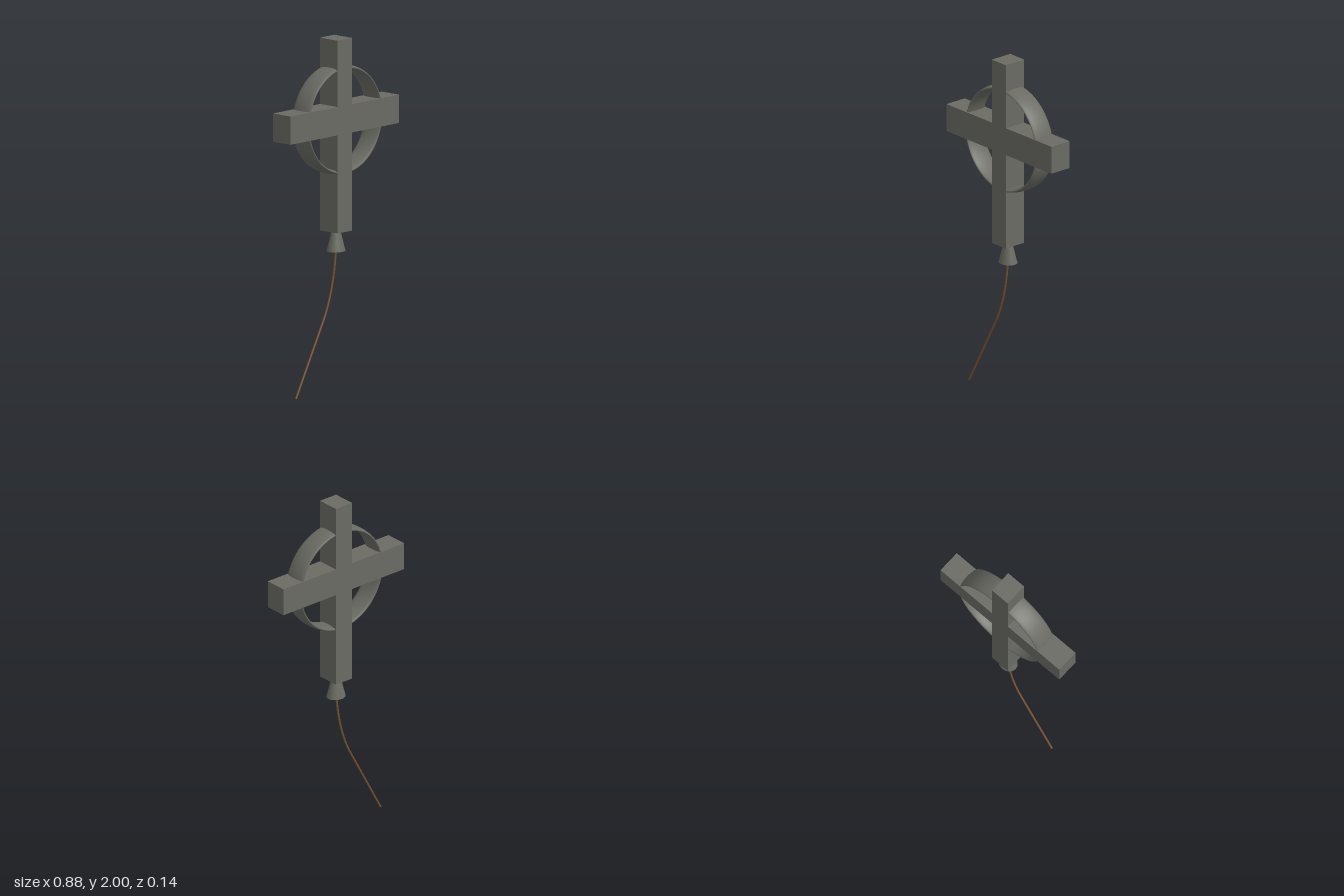
import * as THREE from 'three';

export function createModel() {
  const group = new THREE.Group();
  const stone = new THREE.MeshStandardMaterial({ color: 0x6b6b64 });
  stone.name = 'grey stone';
  const cordBrown = new THREE.MeshStandardMaterial({ color: 0x7a5230 });
  cordBrown.name = 'brown cord';

  const add = (name, geometry, material, x = 0, y = 0, z = 0) => {
    const mesh = new THREE.Mesh(geometry, material);
    mesh.name = name;
    mesh.position.set(x, y, z);
    group.add(mesh);
    return mesh;
  };

  // Cross beams
  add('uprightBeam', new THREE.BoxGeometry(0.118, 1.09, 0.136), stone, 0, 1.455, 0);
  add('crossBeam', new THREE.BoxGeometry(0.884, 0.16, 0.135), stone, 0, 1.545, 0);

  // Ring: a torus widened in depth into a rounded band
  const ring = new THREE.TorusGeometry(0.296, 0.013, 20, 72);
  ring.scale(1, 1, 5);
  add('ring', ring, stone, 0.011, 1.54, 0);

  // Flared cord holder under the upright
  const holder = new THREE.CylinderGeometry(0.026, 0.057, 0.118, 32);
  holder.scale(1, 1, 0.86);
  add('cordHolder', holder, stone, 0, 0.854, 0);

  // Hanging cord: a bend followed by a straight run
  const path = new THREE.CurvePath();
  const bendEnd = new THREE.Vector3(-0.105, 0.41, 0);
  path.add(new THREE.QuadraticBezierCurve3(
    new THREE.Vector3(0, 0.82, 0), new THREE.Vector3(-0.017, 0.572, 0), bendEnd));
  path.add(new THREE.LineCurve3(bendEnd, new THREE.Vector3(-0.326, 0.003, 0)));
  add('cord', new THREE.TubeGeometry(path, 48, 0.006, 8), cordBrown);

  // Cord tip
  const tip = add('cordTip', new THREE.CircleGeometry(0.006, 8), cordBrown, -0.326, 0.003, 0);
  tip.lookAt(-0.547, -0.404, 0);

  return group;
}
